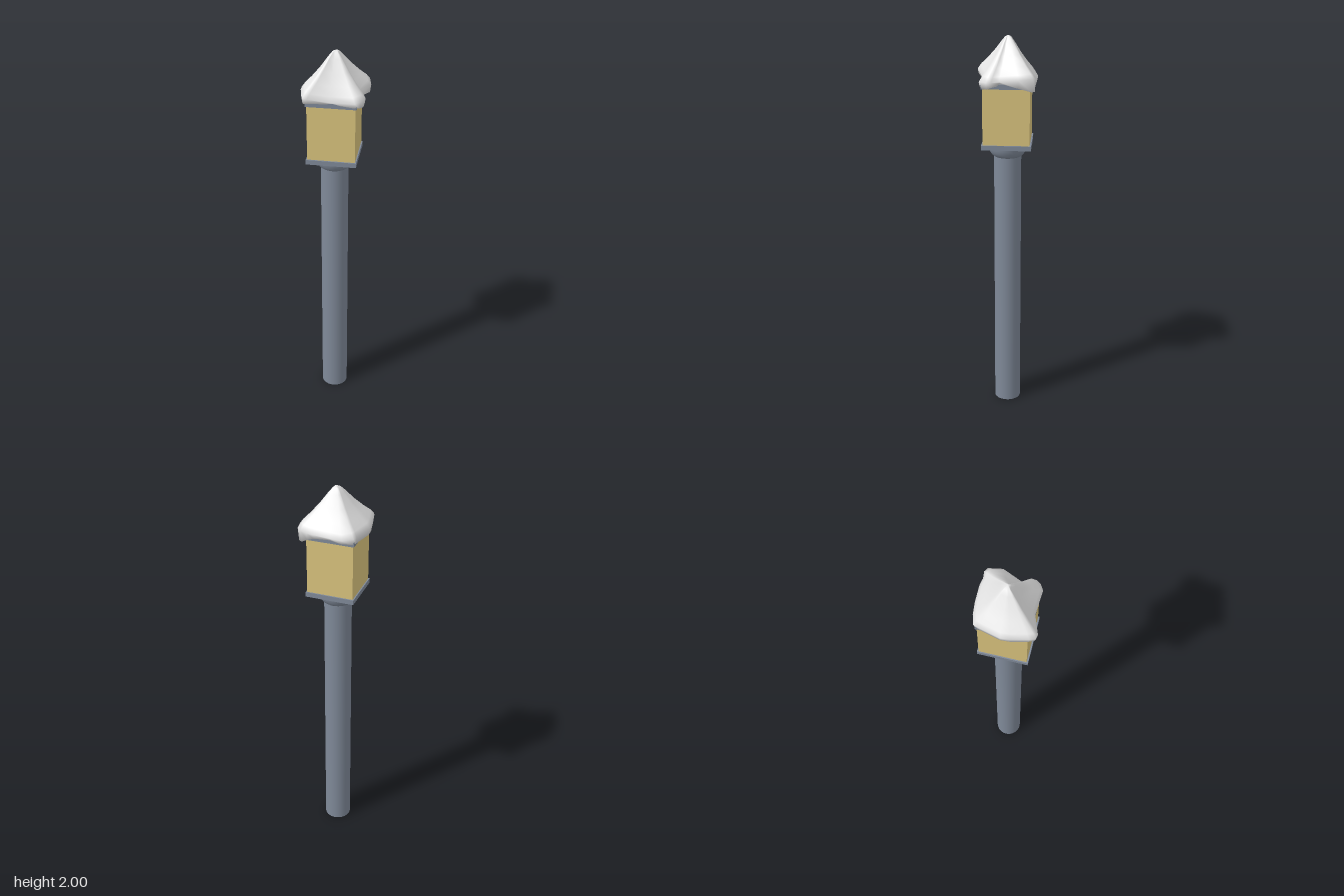
import * as THREE from 'three';

const material = (name, color, side = THREE.FrontSide) => {
  const m = new THREE.MeshStandardMaterial({ color, side });
  m.name = name;
  return m;
};

// Drooping snow cap: rings scaled from an uneven rim up to a rounded peak
function snowGeometry() {
  // x, z, upper lip height, lower hem height
  const rim = [
    [-0.127, -0.134, 1.805, 1.770], [-0.075, -0.150, 1.795, 1.772], [-0.020, -0.155, 1.800, 1.785],
    [0.065, -0.155, 1.805, 1.780], [0.100, -0.148, 1.805, 1.765], [0.130, -0.150, 1.815, 1.752],
    [0.147, -0.137, 1.820, 1.752], [0.162, -0.070, 1.815, 1.772], [0.127, 0.025, 1.800, 1.788],
    [0.153, 0.063, 1.800, 1.772], [0.150, 0.088, 1.800, 1.762], [0.135, 0.108, 1.800, 1.762],
    [0.110, 0.125, 1.795, 1.768], [-0.010, 0.117, 1.790, 1.776], [-0.110, 0.152, 1.815, 1.788],
    [-0.133, 0.148, 1.820, 1.785], [-0.143, 0.120, 1.820, 1.778], [-0.160, 0.040, 1.815, 1.772],
    [-0.163, -0.005, 1.810, 1.772], [-0.135, -0.110, 1.805, 1.768],
  ];
  const n = rim.length;
  const slope = [[0.1, 0.95], [0.22, 0.82], [0.45, 0.54], [0.7, 0.28], [0.9, 0.1]];
  const pos = [0.005, 2, -0.01];
  const index = [];
  for (const [t, h] of slope)
    for (const [x, z, top] of rim) pos.push(x * t, top + (2 - top) * h, z * t - 0.01 * (1 - t));
  for (const [x, z, top] of rim) pos.push(x, top - 0.004, z);
  for (const [x, z, , low] of rim) pos.push(x * 0.97, low, z * 0.97);
  for (const [x, z] of rim) pos.push(x * 0.7, 1.772, z * 0.7);
  const rings = slope.length + 3;
  for (let i = 0; i < n; i++) {
    const j = (i + 1) % n;
    index.push(0, 1 + j, 1 + i);
    for (let r = 0; r < rings - 1; r++) {
      const a = 1 + r * n, b = a + n;
      index.push(a + i, a + j, b + i, a + j, b + j, b + i);
    }
  }
  const g = new THREE.BufferGeometry();
  g.setAttribute('position', new THREE.Float32BufferAttribute(pos, 3));
  g.setIndex(index);
  g.computeVertexNormals();
  return g;
}

export function createModel() {
  const group = new THREE.Group();
  const metal = material('grey metal', 0x7f8998);
  const glass = material('warm glass', 0xd9c37d);
  const snow = material('snow', 0xececec, THREE.DoubleSide);
  const cx = -0.005, cz = -0.006;

  const add = (name, geometry, mat, y) => {
    const mesh = new THREE.Mesh(geometry, mat);
    mesh.name = name;
    mesh.position.set(cx, y, cz);
    group.add(mesh);
    return mesh;
  };

  // Post and bowl-shaped collar
  add('post', new THREE.CylinderGeometry(0.069, 0.069, 1.41, 32), metal, 0.705);
  const bowl = [[0, 1.395], [0.069, 1.395], [0.082, 1.405], [0.091, 1.42], [0.096, 1.437], [0.098, 1.455]]
    .map(([x, y]) => new THREE.Vector2(x, y));
  add('collar', new THREE.LatheGeometry(bowl, 32), metal, 0);

  // Lantern box between two square plates
  add('lowerPlate', new THREE.BoxGeometry(0.246, 0.024, 0.246), metal, 1.464);
  add('lanternGlass', new THREE.BoxGeometry(0.234, 0.284, 0.232), glass, 1.617);
  add('upperPlate', new THREE.BoxGeometry(0.246, 0.024, 0.246), metal, 1.769);

  // Snow on the roof
  add('snowCap', snowGeometry(), snow, 0).position.set(0, 0, 0);
  return group;
}
